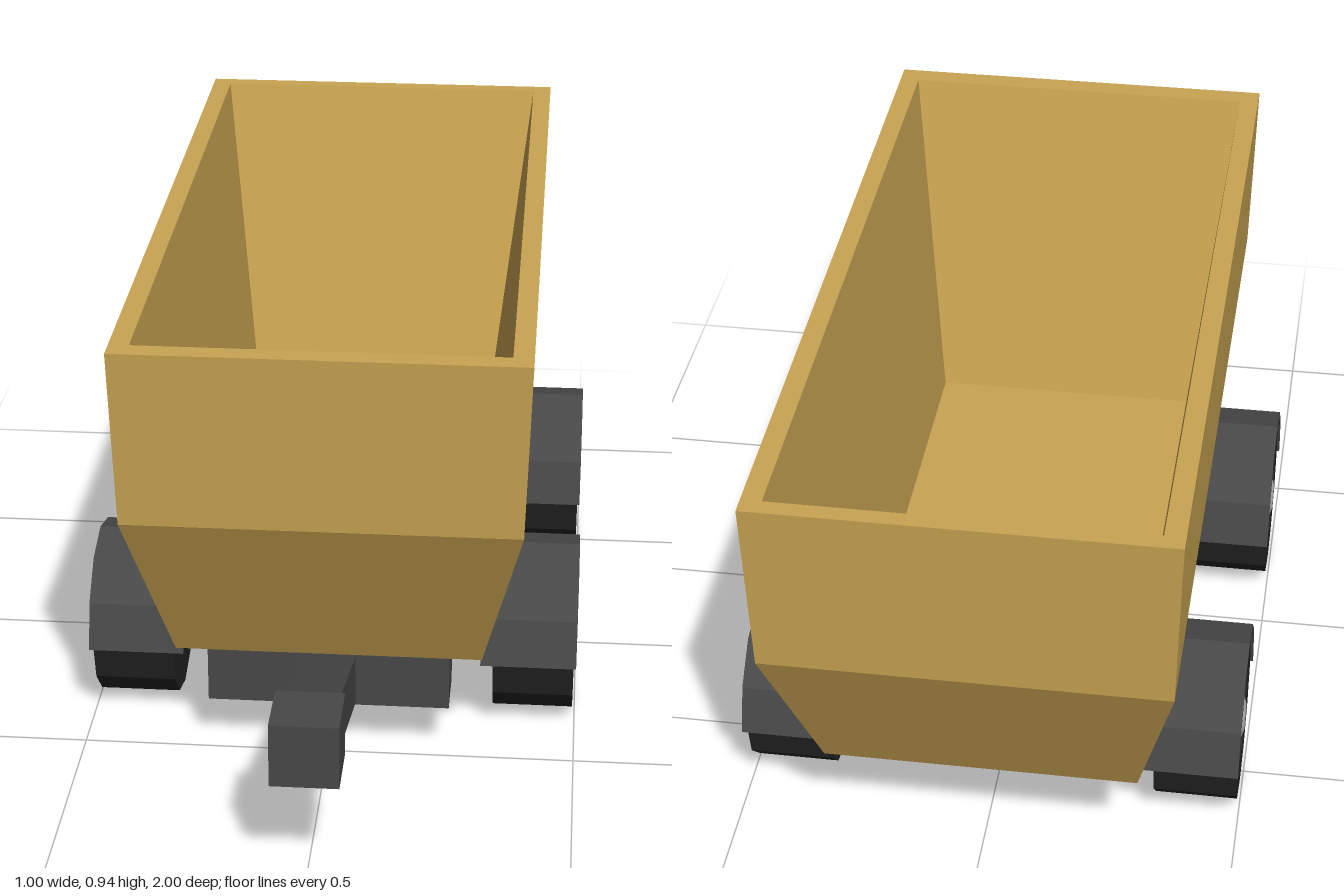
import * as THREE from 'three';

const paint = (color) => new THREE.MeshStandardMaterial({ color, flatShading: true });
const yellow = paint(0xc9a452);
const frameGrey = paint(0x484848);
const rubber = paint(0x242424);
const steel = paint(0xb4b4b4);

function add(parent, name, geometry, material) {
  const mesh = new THREE.Mesh(geometry, material);
  mesh.name = name;
  parent.add(mesh);
  return mesh;
}

// Box given by its limits on each axis
function boxBetween(x0, x1, y0, y1, z0, z1) {
  return new THREE.BoxGeometry(x1 - x0, y1 - y0, z1 - z0)
    .translate((x0 + x1) / 2, (y0 + y1) / 2, (z0 + z1) / 2);
}

// Skin through rectangular rings { y, x: half width, f: front z, b: back z }, capped at both ends
function loft(rings) {
  const corners = rings.map(({ y, x, f, b }) => [[-x, y, f], [x, y, f], [x, y, b], [-x, y, b]]);
  const pos = [];
  const quad = (a, b, c, d) => pos.push(...a, ...b, ...c, ...a, ...c, ...d);
  for (let i = 0; i < corners.length - 1; i++) {
    for (let k = 0; k < 4; k++) {
      const n = (k + 1) % 4;
      quad(corners[i][k], corners[i][n], corners[i + 1][n], corners[i + 1][k]);
    }
  }
  quad(...[...corners[0]].reverse());
  quad(...corners[corners.length - 1]);
  const geometry = new THREE.BufferGeometry();
  geometry.setAttribute('position', new THREE.Float32BufferAttribute(pos, 3));
  geometry.computeVertexNormals();
  return geometry;
}

// Twelve-sided turned part, its axis along +x
function turned(profile) {
  const points = profile.map(([r, h]) => new THREE.Vector2(r, h));
  return new THREE.LatheGeometry(points, 12).rotateZ(-Math.PI / 2);
}

// Half-ring mudguard running along x
function fenderGeometry(outer, inner, width) {
  const arc = (r) => Array.from({ length: 7 }, (_, i) => {
    const a = (i * Math.PI) / 6;
    return new THREE.Vector2(r * Math.cos(a), r * Math.sin(a));
  });
  const shape = new THREE.Shape([...arc(outer), ...arc(inner).reverse()]);
  return new THREE.ExtrudeGeometry(shape, { depth: width, bevelEnabled: false })
    .rotateY(Math.PI / 2);
}

export function createModel() {
  const model = new THREE.Group();
  model.name = 'trailer';

  // Open tub: outside from the bottom up, over the rim, then down the inside
  add(model, 'tub', loft([
    { y: 0.22, x: 0.31, f: 0.49, b: -0.81 },
    { y: 0.58, x: 0.39, f: 0.66, b: -0.98 },
    { y: 0.945, x: 0.4, f: 0.68, b: -1.0 },
    { y: 0.945, x: 0.36, f: 0.635, b: -0.965 },
    { y: 0.26, x: 0.28, f: 0.45, b: -0.78 },
  ]), yellow);

  // Wheel parts, with the outer side toward +x
  const tyre = turned([
    [0, -0.083], [0.17, -0.083], [0.17, 0.082], [0.1, 0.082], [0.082, 0.045], [0, 0.045],
  ]);
  const hub = turned([
    [0.08, 0.045], [0.078, 0.062], [0.058, 0.072], [0.054, 0.06],
    [0.048, 0.06], [0.044, 0.08], [0.028, 0.086], [0, 0.086],
  ]);
  const fender = fenderGeometry(0.19, 0.177, 0.195);

  // Two axles, each with a mirrored pair of wheels and fenders
  for (const [end, z] of [['front', 0.235], ['rear', -0.525]]) {
    add(model, `${end}Axle`, boxBetween(-0.31, 0.33, 0.115, 0.22, z - 0.058, z + 0.058), frameGrey);
    for (const [side, s] of [['Left', 1], ['Right', -1]]) {
      const wheel = new THREE.Group();
      wheel.name = `${end}${side}Wheel`;
      wheel.position.set(s * 0.413, 0.17, z);
      wheel.rotation.y = s > 0 ? 0 : Math.PI;
      add(wheel, 'tyre', tyre, rubber);
      add(wheel, 'hub', hub, steel);
      add(wheel, 'fender', fender, frameGrey).position.x = -0.108;
      model.add(wheel);
    }
  }

  // Cross beam, rising drawbar and coupling block
  add(model, 'crossBeam', boxBetween(-0.245, 0.245, 0.105, 0.219, 0.37, 0.49), frameGrey);
  const drawbar = new THREE.Shape([
    new THREE.Vector2(-0.48, 0.105), new THREE.Vector2(-0.48, 0.212),
    new THREE.Vector2(-0.88, 0.338), new THREE.Vector2(-0.88, 0.228),
  ].reverse());
  add(model, 'drawbar', new THREE.ExtrudeGeometry(drawbar, { depth: 0.11, bevelEnabled: false })
    .rotateY(Math.PI / 2).translate(-0.055, 0, 0), frameGrey);
  add(model, 'coupling', boxBetween(-0.066, 0.066, 0.22, 0.35, 0.87, 1), frameGrey);

  return model;
}
